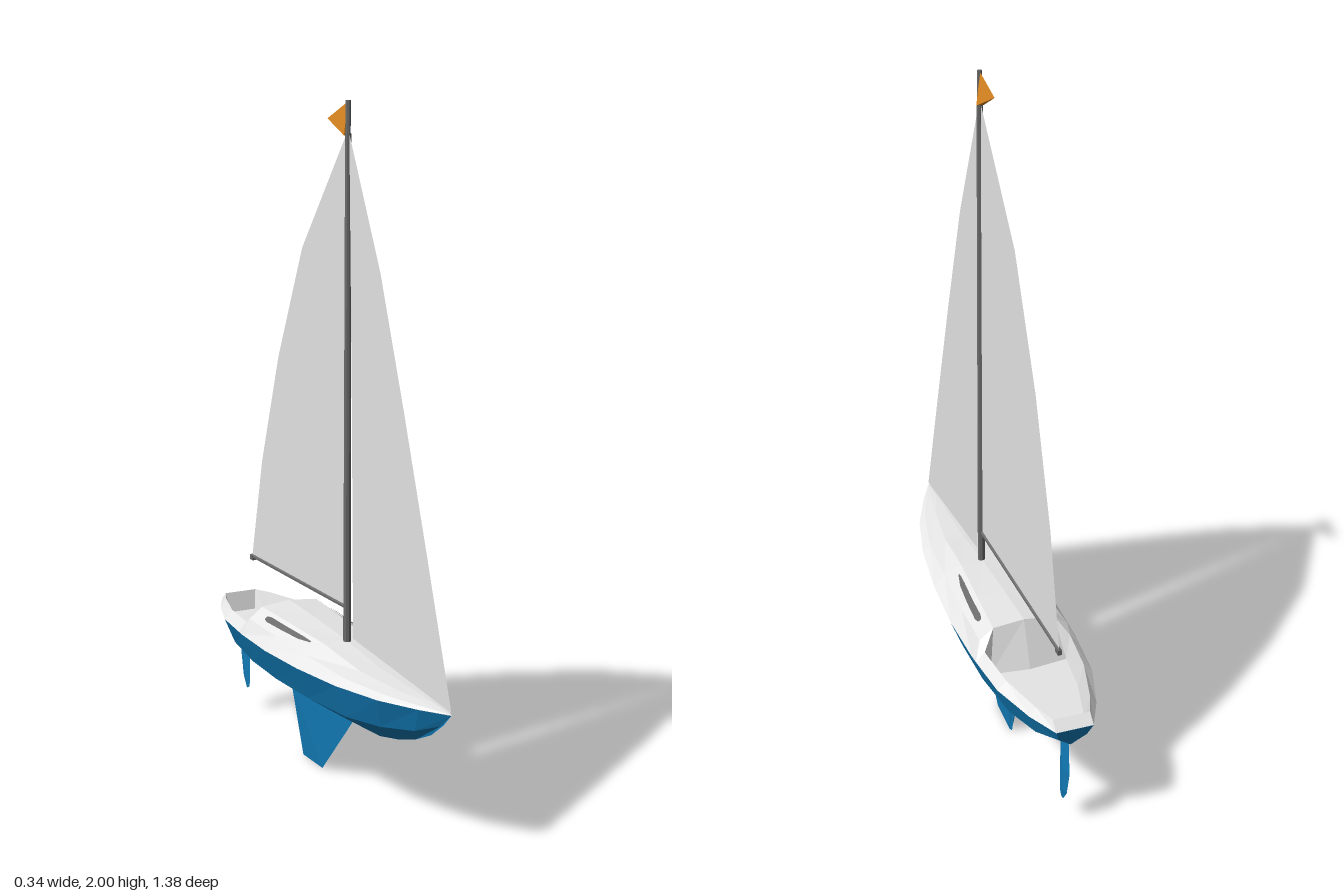
import * as THREE from 'three';

const flat = (name, color) => {
  const m = new THREE.MeshStandardMaterial({ color, flatShading: true, side: THREE.DoubleSide });
  m.name = name;
  return m;
};

// Skin between rows of [x, y, z] points, mirrored across x = 0 when asked
function loft(rows, sides = [1, -1]) {
  const pos = [];
  for (const s of sides) {
    const tri = (a, b, c) => {
      const order = s > 0 ? [a, b, c] : [a, c, b];
      for (const p of order) pos.push(p[0] * s, p[1], p[2]);
    };
    for (let i = 0; i + 1 < rows.length; i++) {
      for (let j = 0; j + 1 < rows[i].length; j++) {
        const a = rows[i][j], b = rows[i][j + 1], c = rows[i + 1][j + 1], d = rows[i + 1][j];
        tri(a, b, c);
        tri(a, c, d);
      }
    }
  }
  const g = new THREE.BufferGeometry();
  g.setAttribute('position', new THREE.Float32BufferAttribute(pos, 3));
  g.computeVertexNormals();
  return g;
}

// Flat panel in the centre plane from [z, y] points
function panel(points) {
  const shape = new THREE.Shape(points.map(([z, y]) => new THREE.Vector2(-z, y)));
  return new THREE.ShapeGeometry(shape).rotateY(Math.PI / 2);
}

export function createModel() {
  const boat = new THREE.Group();
  boat.name = 'sailingBoat';
  const blue = flat('hullBlue', 0x127ab5);
  const white = flat('deckWhite', 0xe6e6e6);
  const sailcloth = flat('sailWhite', 0xe2e2e2);
  const grey = flat('sparGrey', 0x6a6a6a);
  const orange = flat('flagOrange', 0xe08a22);

  const add = (name, geometry, material) => {
    const mesh = new THREE.Mesh(geometry, material);
    mesh.name = name;
    boat.add(mesh);
    return mesh;
  };

  // Hull: gunwale, chine and keel line at each station, closed by the transom
  const hull = [
    [[0, 0.418, 0.69], [0.004, 0.375, 0.645], [0, 0.33, 0.59]],
    [[0.045, 0.412, 0.6], [0.035, 0.338, 0.56], [0, 0.29, 0.51]],
    [[0.098, 0.405, 0.47], [0.072, 0.315, 0.44], [0, 0.258, 0.42]],
    [[0.137, 0.398, 0.3], [0.104, 0.302, 0.3], [0, 0.23, 0.31]],
    [[0.16, 0.392, 0.1], [0.122, 0.295, 0.1], [0, 0.212, 0.1]],
    [[0.169, 0.388, -0.1], [0.131, 0.293, -0.1], [0, 0.207, -0.1]],
    [[0.163, 0.386, -0.28], [0.128, 0.295, -0.28], [0, 0.22, -0.28]],
    [[0.145, 0.385, -0.46], [0.11, 0.303, -0.46], [0, 0.25, -0.46]],
    [[0.1, 0.384, -0.6], [0.075, 0.315, -0.585], [0, 0.273, -0.56]],
    [[0.055, 0.383, -0.69], [0.042, 0.345, -0.675], [0, 0.308, -0.66]],
    [[0, 0.383, -0.69], [0, 0.345, -0.675], [0, 0.308, -0.66]],
  ];
  add('hull', loft(hull), blue);

  // Deck and cabin: centre line, roof edge, shoulder, gunwale
  const section = (z, yc, w2, y2, w1, y1, w0, y0) => [[0, yc, z], [w2, y2, z], [w1, y1, z], [w0, y0, z]];
  const deck = [
    section(0.69, 0.42, 0, 0.42, 0, 0.42, 0, 0.418),
    section(0.6, 0.425, 0.018, 0.423, 0.035, 0.42, 0.045, 0.412),
    section(0.47, 0.428, 0.04, 0.426, 0.078, 0.418, 0.098, 0.405),
    section(0.3, 0.433, 0.06, 0.43, 0.112, 0.418, 0.137, 0.398),
    section(0.1, 0.457, 0.07, 0.453, 0.125, 0.425, 0.16, 0.392),
    section(-0.1, 0.47, 0.085, 0.463, 0.135, 0.43, 0.169, 0.388),
    section(-0.28, 0.478, 0.095, 0.468, 0.137, 0.435, 0.163, 0.386),
  ];
  add('deckAndCabin', loft(deck), white);

  // Cockpit: bulkhead, floor, walls, rim and stern deck
  const cockpit = [
    deck[deck.length - 1],
    [[0, 0.34, -0.338], [0.118, 0.34, -0.325], [0.133, 0.415, -0.315], [0.16, 0.386, -0.315]],
    [[0, 0.34, -0.46], [0.102, 0.34, -0.46], [0.118, 0.412, -0.46], [0.145, 0.385, -0.46]],
    [[0, 0.34, -0.6], [0.064, 0.34, -0.6], [0.08, 0.41, -0.6], [0.1, 0.384, -0.6]],
    [[0, 0.345, -0.645], [0.045, 0.345, -0.645], [0.055, 0.408, -0.66], [0.055, 0.383, -0.69]],
    [[0, 0.408, -0.662], [0.045, 0.408, -0.662], [0.055, 0.408, -0.662], [0.055, 0.383, -0.69]],
    [[0, 0.383, -0.69], [0.045, 0.383, -0.69], [0.055, 0.383, -0.69], [0.055, 0.383, -0.69]],
  ];
  add('cockpit', loft(cockpit), white);

  // Cabin windows: thin tapered plates just above the cabin shoulder
  const onShoulder = (z, t) => {
    const i = deck.findIndex((r, k) => k > 0 && r[0][2] <= z);
    const f = (deck[i - 1][0][2] - z) / (deck[i - 1][0][2] - deck[i][0][2]);
    const along = (j) => new THREE.Vector3(...deck[i - 1][j]).lerp(new THREE.Vector3(...deck[i][j]), f);
    const p = along(1).lerp(along(2), t);
    return [p.x, p.y + 0.004, p.z];
  };
  const windowRows = [[0.055, 0.3, 0.38], [0, 0.28, 0.55], [-0.1, 0.3, 0.62], [-0.19, 0.3, 0.68], [-0.21, 0.38, 0.6]]
    .map(([z, a, b]) => [onShoulder(z, a), onShoulder(z, b)]);
  add('cabinWindows', loft(windowRows), grey);

  // Keel fin, thickest near its trailing edge
  add('keel', loft([
    [[0, 0.24, -0.245], [0.027, 0.24, -0.215], [0, 0.24, 0.168]],
    [[0, 0, -0.185], [0.004, 0, -0.175], [0, 0, -0.05]],
    [[0, 0, -0.185], [0, 0, -0.175], [0, 0, -0.05]],
  ]), blue);

  // Rudder blade: trailing edge, thickness, leading edge
  const rudder = [
    [0.32, 0.297, -0.645, -0.585, 0.01],
    [0.2, 0.2, -0.66, -0.588, 0.009],
    [0.12, 0.12, -0.643, -0.591, 0.006],
    [0.08, 0.092, -0.616, -0.594, 0.002],
  ].map(([yt, yl, zt, zl, w]) => [[0, yt, zt], [w, (yt + yl) / 2, (zt + zl) / 2], [0, yl, zl]]);
  add('rudder', loft(rudder), blue);

  // Mast, flagstaff and boom
  const mastZ = 0.11;
  add('mast', new THREE.CylinderGeometry(0.009, 0.012, 1.47, 8), grey).position.set(0, 1.175, mastZ);
  add('flagstaff', new THREE.CylinderGeometry(0.007, 0.007, 0.1, 6), grey).position.set(0, 1.95, mastZ);
  const boom = add('boom', new THREE.CylinderGeometry(0.006, 0.006, 0.67, 6), grey);
  boom.rotation.x = Math.PI / 2;
  boom.position.set(0, 0.556, -0.23);
  add('boomEnd', new THREE.BoxGeometry(0.012, 0.016, 0.022), grey).position.set(0, 0.552, -0.556);

  // Sails
  add('mainSail', panel([
    [0.1, 1.91], [0.1, 0.558], [-0.56, 0.558], [-0.477, 0.89], [-0.35, 1.24], [-0.18, 1.585],
  ]), sailcloth);
  add('foreSail', panel([
    [0.117, 1.91], [0.297, 1.54], [0.43, 1.18], [0.556, 0.82], [0.69, 0.426], [0.147, 0.472], [0.137, 1.1],
  ]), sailcloth);

  // Pennant: wedge tapering aft from the flagstaff
  add('pennant', loft([
    [[0, 1.955, -0.015], [0, 1.955, -0.015], [0, 1.955, -0.015]],
    [[0, 1.905, 0.106], [0.011, 1.905, 0.106], [0, 1.996, 0.106]],
    [[0, 1.95, 0.106], [0, 1.95, 0.106], [0, 1.95, 0.106]],
  ].map((row) => row.slice().reverse())), orange);

  return boat;
}
